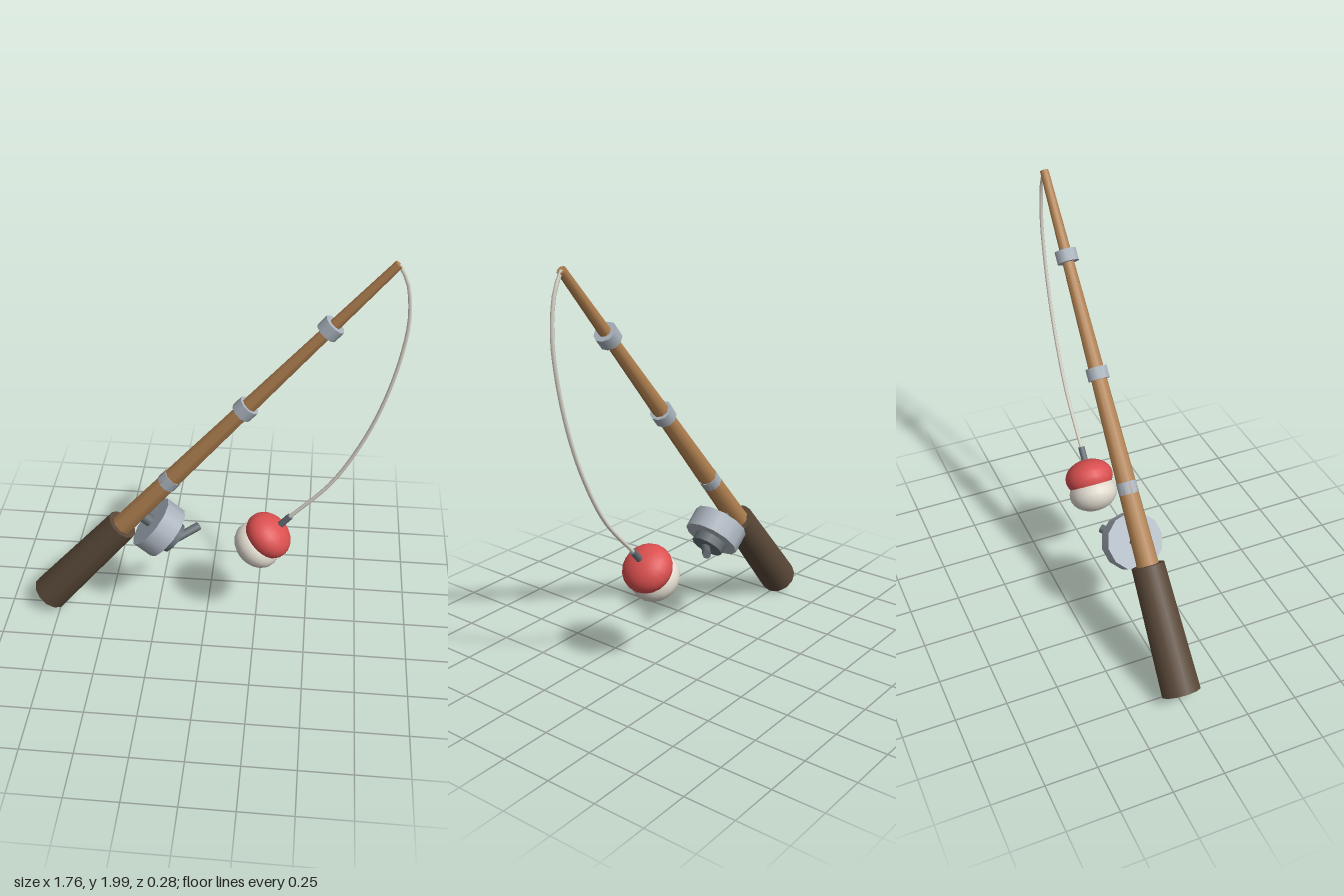
import * as THREE from 'three';

const TILT = -40 * Math.PI / 180;

function material(name, color) {
  const m = new THREE.MeshStandardMaterial({ color });
  m.name = name;
  return m;
}

export function createModel() {
  const darkWood = material('darkWood', 0x594838);
  const wood = material('wood', 0xb08050);
  const metal = material('lightMetal', 0xa9b2bc);
  const darkMetal = material('darkMetal', 0x626c72);
  const red = material('red', 0xdc5050);
  const cream = material('cream', 0xdfd9cd);

  const model = new THREE.Group();
  model.name = 'fishingRod';

  const add = (parent, name, geometry, mat) => {
    const mesh = new THREE.Mesh(geometry, mat);
    mesh.name = name;
    parent.add(mesh);
    return mesh;
  };
  // Upright cylinder spanning y0..y1
  const post = (parent, name, y0, y1, r0, r1, sides, mat) => {
    const mesh = add(parent, name, new THREE.CylinderGeometry(r1, r0, y1 - y0, sides), mat);
    mesh.position.y = (y0 + y1) / 2;
    return mesh;
  };

  // Pole: built upright from the butt of the handle, then tilted
  const pole = new THREE.Group();
  pole.name = 'pole';
  pole.position.set(-0.807, 0.063, 0);
  pole.rotation.z = TILT;
  model.add(pole);
  post(pole, 'handle', 0, 0.61, 0.094, 0.08, 12, darkWood);
  post(pole, 'rod', 0.5, 2.505, 0.057, 0.021, 8, wood);
  [[0.981, 0.05], [1.529, 0.053], [2.092, 0.053]].forEach(([y, r]) =>
    post(pole, 'lineGuide', y - 0.029, y + 0.029, r, r, 10, metal));

  // Reel: its axis points out from the underside of the pole
  const reel = new THREE.Group();
  reel.name = 'reel';
  reel.position.y = 0.725;
  reel.rotation.z = -Math.PI / 2;
  pole.add(reel);
  post(reel, 'reelStem', 0.02, 0.1, 0.03, 0.03, 8, darkMetal);
  post(reel, 'reelDrum', 0.087, 0.192, 0.138, 0.138, 12, metal);
  post(reel, 'reelCap', 0.18, 0.237, 0.08, 0.08, 12, darkMetal);

  // Crank handle
  const a = new THREE.Vector3(-0.165, 0.463, 0.012);
  const b = new THREE.Vector3(-0.048, 0.487, -0.082);
  const axis = b.clone().sub(a);
  const crank = add(model, 'crank', new THREE.CylinderGeometry(0.021, 0.021, axis.length(), 8), darkMetal);
  crank.position.copy(a).add(b).multiplyScalar(0.5);
  crank.quaternion.setFromUnitVectors(new THREE.Vector3(0, 1, 0), axis.normalize());

  // Line drooping from the tip to the float
  const path = new THREE.CatmullRomCurve3([
    [0.802, 1.982], [0.844, 1.905], [0.868, 1.74], [0.854, 1.57], [0.8, 1.325],
    [0.715, 1.09], [0.585, 0.85], [0.4, 0.64],
  ].map(([x, y]) => new THREE.Vector3(x, y, 0)));
  add(model, 'line', new THREE.TubeGeometry(path, 28, 0.009, 6), cream);

  // Float: two flattened balls and a stem on one tilted axis
  const bobber = new THREE.Group();
  bobber.name = 'float';
  bobber.position.set(0.3, 0.521, 0);
  bobber.rotation.z = TILT;
  model.add(bobber);
  [['floatTop', 0, red], ['floatBottom', -0.084, cream]].forEach(([name, y, mat]) => {
    const ball = add(bobber, name, new THREE.SphereGeometry(0.122, 20, 14), mat);
    ball.scale.y = 0.75;
    ball.position.y = y;
  });
  post(bobber, 'floatStem', 0.06, 0.158, 0.017, 0.017, 8, darkMetal);

  return model;
}
